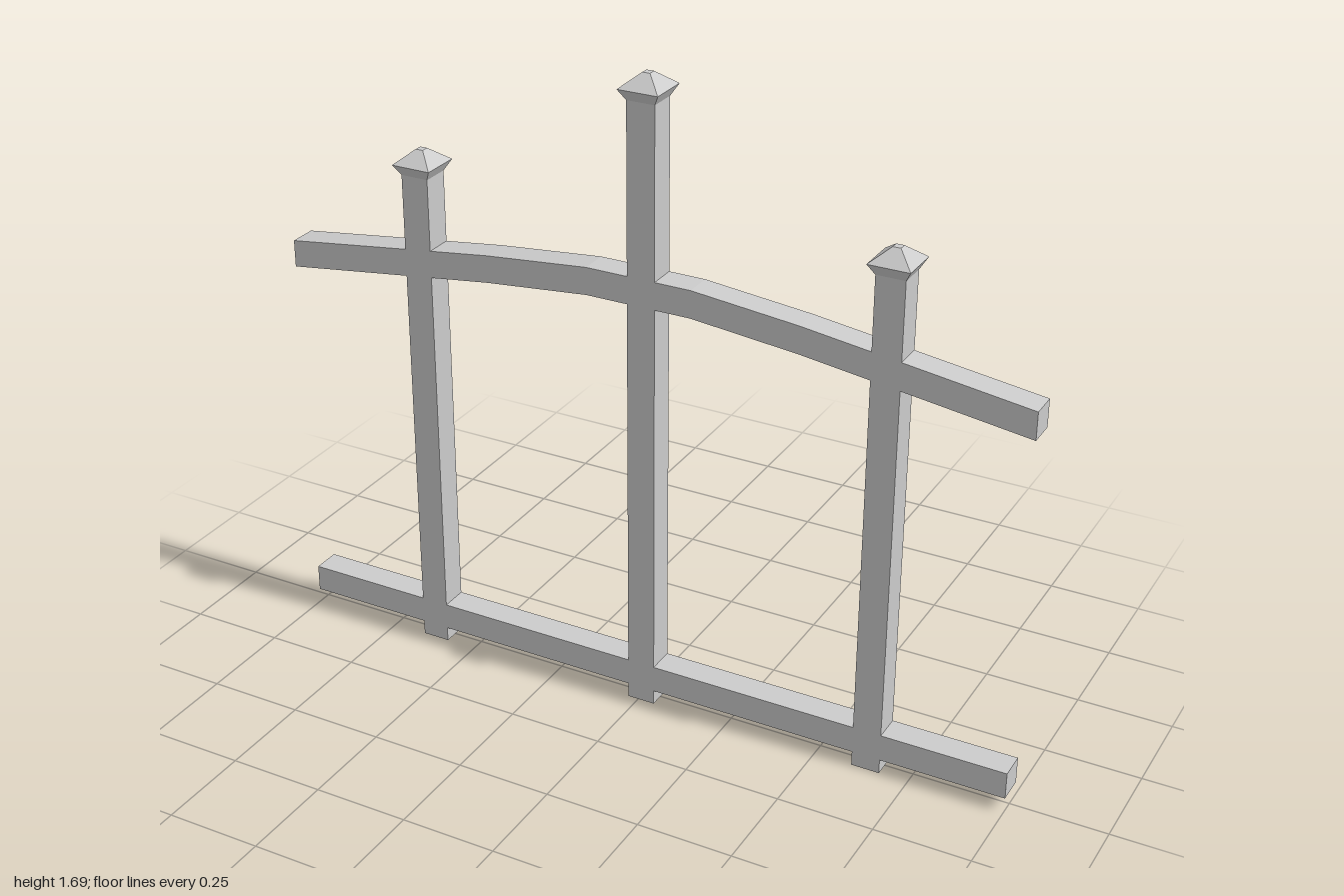
import * as THREE from 'three';

const material = new THREE.MeshStandardMaterial({ color: 0xcccccc, flatShading: true });
const WIDTH = 0.074; // thickness of posts and rails

function addMesh(parent, name, geometry, x = 0, y = 0, z = 0) {
  const mesh = new THREE.Mesh(geometry, material);
  mesh.name = name;
  mesh.position.set(x, y, z);
  parent.add(mesh);
}

// Four-sided frustum with flat sides facing the axes, standing on y = 0
function squareFrustum(topWidth, bottomWidth, height) {
  return new THREE.CylinderGeometry(topWidth * Math.SQRT1_2, bottomWidth * Math.SQRT1_2, height, 4)
    .rotateY(Math.PI / 4)
    .translate(0, height / 2, 0);
}

// Square post with a flared cap and low pyramid on top
function createPost(name, x, height) {
  const post = new THREE.Group();
  post.name = name;
  post.position.x = x;
  const shaft = height - 0.063;
  addMesh(post, 'shaft', new THREE.BoxGeometry(WIDTH, shaft, WIDTH), 0, shaft / 2);
  addMesh(post, 'capFlare', squareFrustum(0.106, WIDTH, 0.028), 0, shaft);
  addMesh(post, 'capPyramid', squareFrustum(0.02, 0.106, 0.035), 0, shaft + 0.028);
  return post;
}

// Gently arched rail, faceted along its length, with vertical ends
function archedRail() {
  const half = [[0.14, 1.187], [0.42, 1.159], [0.66, 1.127], [1, 1.081]];
  const top = [...half.map(([x, y]) => [-x, y]).reverse(), ...half];
  const bottom = top.map(([x, y]) => [x, y - 0.072]).reverse();
  const shape = new THREE.Shape([...top, ...bottom].map(([x, y]) => new THREE.Vector2(x, y)));
  return new THREE.ExtrudeGeometry(shape, { depth: WIDTH, bevelEnabled: false })
    .translate(0, 0, -WIDTH / 2);
}

export function createModel() {
  const fence = new THREE.Group();
  fence.name = 'fencePanel';

  fence.add(createPost('rightPost', -0.62, 1.388));
  fence.add(createPost('middlePost', 0.008, 1.688));
  fence.add(createPost('leftPost', 0.637, 1.388));

  addMesh(fence, 'lowerRail', new THREE.BoxGeometry(2, 0.072, WIDTH), 0, 0.075);
  addMesh(fence, 'archedUpperRail', archedRail());
  return fence;
}
